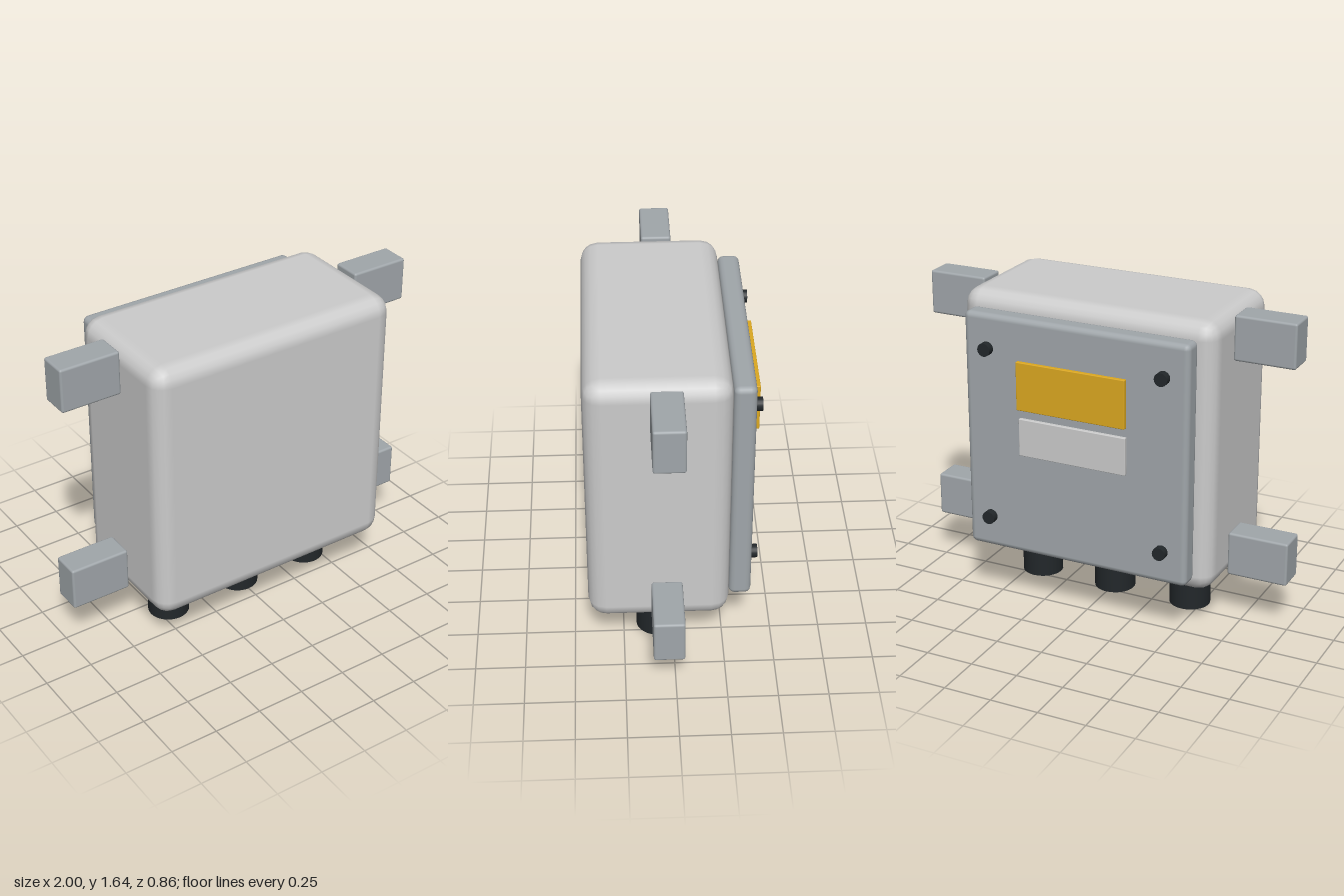
import * as THREE from 'three';
import { RoundedBoxGeometry } from 'three/addons/geometries/RoundedBoxGeometry.js';

const paint = (color) => new THREE.MeshStandardMaterial({ color });

export function createModel() {
  const model = new THREE.Group();
  const shell = paint(0xcccfcf);
  const metal = paint(0xa0a6aa);
  const black = paint(0x22272a);
  const yellow = paint(0xdca820);
  const pale = paint(0xd6d6d6);

  const add = (name, geometry, material, x, y, z) => {
    const mesh = new THREE.Mesh(geometry, material);
    mesh.name = name;
    mesh.position.set(x, y, z);
    model.add(mesh);
    return mesh;
  };

  // Rounded box given by its extents on each axis
  const block = (name, material, [x0, x1], [y0, y1], [z0, z1], radius) =>
    add(name, new RoundedBoxGeometry(x1 - x0, y1 - y0, z1 - z0, 2, radius), material,
      (x0 + x1) / 2, (y0 + y1) / 2, (z0 + z1) / 2);

  // Enclosure and its cover plate on the rear
  block('body', shell, [-0.685, 0.685], [0.24, 1.645], [-0.275, 0.425], 0.09);
  block('cover', metal, [-0.605, 0.605], [0.32, 1.57], [-0.385, -0.275], 0.03);

  // Label plates on the cover
  block('warningPlate', yellow, [-0.293, 0.293], [1.115, 1.365], [-0.43, -0.407], 0.004);
  block('ratingPlate', pale, [-0.29, 0.29], [0.87, 1.065], [-0.416, -0.394], 0.004);

  // Mounting lugs and cover screws, mirrored left and right
  const screw = new THREE.CylinderGeometry(0.034, 0.034, 0.04, 20).rotateX(Math.PI / 2);
  for (const side of [-1, 1]) {
    const label = side > 0 ? 'left' : 'right';
    const span = side > 0 ? [0.683, 1] : [-1, -0.683];
    block(label + 'UpperLug', metal, span, [1.4, 1.63], [-0.04, 0.113], 0.012);
    block(label + 'LowerLug', metal, span, [0.26, 0.49], [-0.04, 0.113], 0.012);
    add(label + 'UpperScrew', screw, black, side * 0.475, 1.395, -0.402);
    add(label + 'LowerScrew', screw, black, side * 0.475, 0.493, -0.402);
  }

  // Cable glands underneath
  const gland = new THREE.CylinderGeometry(0.107, 0.107, 0.26, 32);
  for (const x of [-0.433, 0, 0.433]) add('cableGland', gland, black, x, 0.13, 0.078);

  return model;
}
